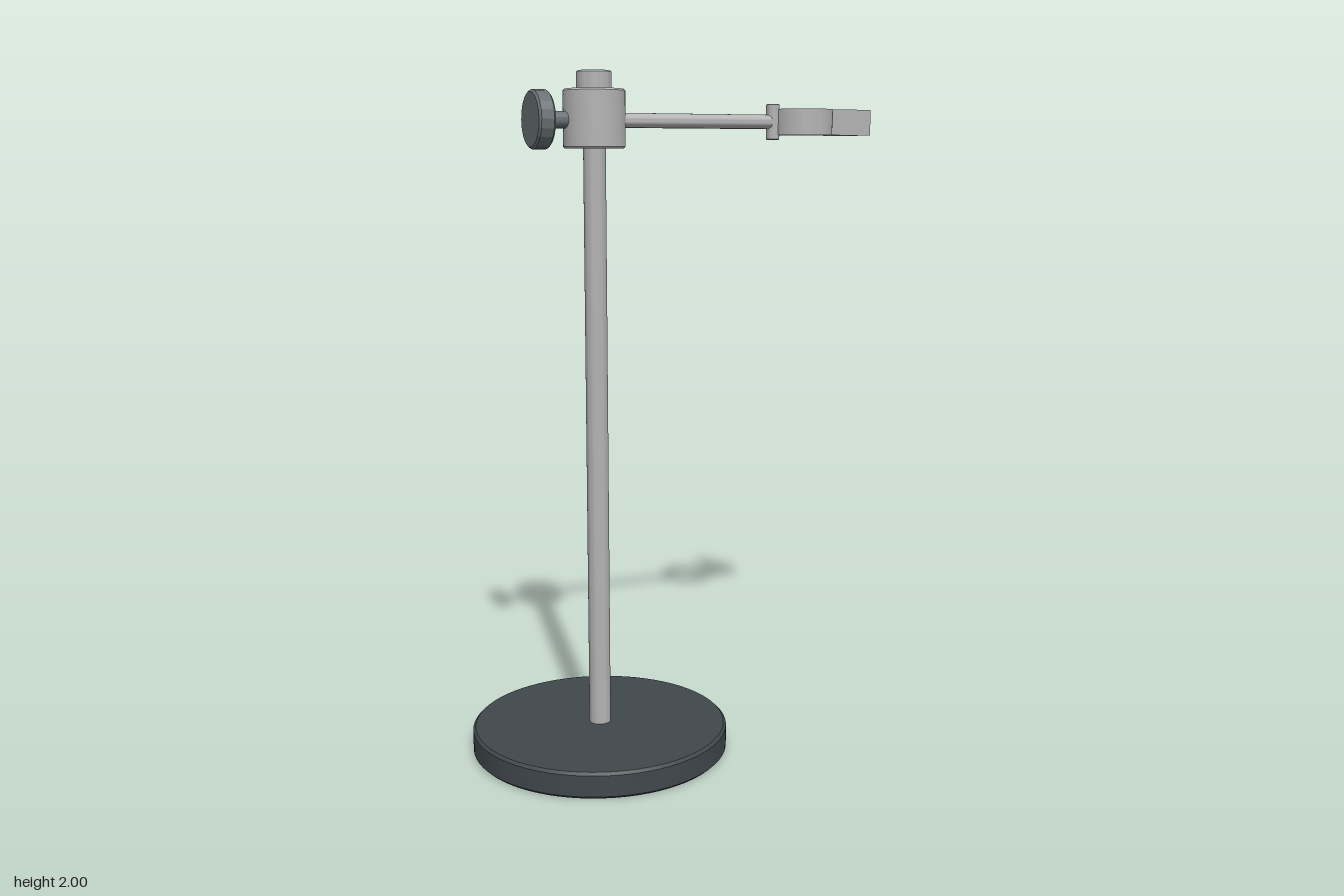
import * as THREE from 'three';
import { toCreasedNormals } from 'three/addons/utils/BufferGeometryUtils.js';

const POST_X = -0.254, ARM_Y = 1.864, RING_X = 0.415;

function makeMaterial(name, color) {
  const m = new THREE.MeshStandardMaterial({ color });
  m.name = name;
  return m;
}

// Solid of revolution from [radius, height] pairs, listed bottom to top
function turned(profile, segments = 48, crease = 0.5) {
  const points = profile.map(([r, y]) => new THREE.Vector2(r, y));
  return toCreasedNormals(new THREE.LatheGeometry(points, segments), crease);
}

// Closed drum with small bevels on both rims
function drum(r, y0, y1, bevel, segments, crease) {
  return turned([[0, y0], [r - bevel, y0], [r, y0 + bevel], [r, y1 - bevel], [r - bevel, y1], [0, y1]], segments, crease);
}

// Extrude a plan-view shape upward, centred on its own height
function planExtrude(shape, height) {
  const geo = new THREE.ExtrudeGeometry(shape, { depth: height, bevelEnabled: false, curveSegments: 48 });
  geo.translate(0, 0, -height / 2);
  geo.rotateX(-Math.PI / 2);
  return toCreasedNormals(geo, 0.5);
}

// Split ring with two jaws; the lower jaw hooks round to carry the screw
function clampShape() {
  const s = new THREE.Shape();
  const R = 0.0915, r = 0.068;
  s.moveTo(0.185, 0.045);
  s.absarc(0, 0, R, Math.asin(0.045 / R), 2 * Math.PI - Math.asin(0.042 / R), false);
  s.lineTo(0.215, -0.042);
  s.lineTo(0.215, 0.077);
  s.lineTo(0.12, 0.077);
  s.lineTo(0.12, 0.06);
  s.lineTo(0.196, 0.06);
  s.lineTo(0.196, -0.022);
  s.lineTo(0.077, -0.022);
  s.absarc(0, 0, r, 2 * Math.PI - 0.52, 0.52, true);
  s.lineTo(0.077, 0.025);
  s.lineTo(0.185, 0.025);
  s.closePath();
  return s;
}

function linerShape() {
  const s = new THREE.Shape();
  s.absarc(0, 0, 0.0685, 0.54, 2 * Math.PI - 0.54, false);
  s.absarc(0, 0, 0.0635, 2 * Math.PI - 0.54, 0.54, true);
  s.closePath();
  return s;
}

// Fluted grip: the outer vertices of a drum pulled in by a ripple
function flutedHead(r, y0, y1) {
  const geo = new THREE.LatheGeometry(
    [[0, y0], [r * 0.75, y0], [r, y0 + 0.008], [r, y1 - 0.012], [r * 0.7, y1], [0, y1]].map(p => new THREE.Vector2(...p)), 60);
  const p = geo.attributes.position;
  for (let i = 0; i < p.count; i++) {
    const x = p.getX(i), z = p.getZ(i);
    if (Math.hypot(x, z) < r * 0.9) continue;
    const k = 0.94 + 0.06 * Math.cos(12 * Math.atan2(z, x));
    p.setX(i, x * k);
    p.setZ(i, z * k);
  }
  return toCreasedNormals(geo, 0.6);
}

export function createModel() {
  const model = new THREE.Group();
  model.name = 'clampStand';

  const steel = makeMaterial('steel', 0xb3b3b4);
  const castIron = makeMaterial('castIron', 0x40484c);
  const knobGrey = makeMaterial('knobGrey', 0x697074);
  const screwGrey = makeMaterial('screwGrey', 0x52575b);
  const cork = makeMaterial('cork', 0xb08454);

  const add = (parent, name, geometry, material) => {
    const mesh = new THREE.Mesh(geometry, material);
    mesh.name = name;
    parent.add(mesh);
    return mesh;
  };
  const group = (name, x, y, z) => {
    const g = new THREE.Group();
    g.name = name;
    g.position.set(x, y, z);
    model.add(g);
    return g;
  };

  // Base, post, sliding collar and cap share one axis
  const stand = group('stand', POST_X, 0, 0);
  add(stand, 'base', drum(0.382, 0, 0.078, 0.008, 72), castIron);
  add(stand, 'post', drum(0.032, 0.07, 1.96, 0.002, 32), steel);
  add(stand, 'collar', drum(0.088, 1.785, 1.95, 0.005), steel);
  add(stand, 'cap', drum(0.05, 1.945, 2.0, 0.004), steel);

  // Tightening knob, axis pointing to -x
  const knob = group('knob', POST_X, ARM_Y, 0);
  knob.rotation.z = Math.PI / 2;
  add(knob, 'knobBoss', drum(0.024, 0.08, 0.135, 0.004, 24), knobGrey);
  add(knob, 'knobNeck', drum(0.014, 0.12, 0.15, 0.001, 20), knobGrey);
  add(knob, 'knobWheel', drum(0.082, 0.141, 0.19, 0.006, 20, 0.2), knobGrey);

  // Horizontal arm and the upright pin at its end
  const arm = add(model, 'arm', drum(0.021, 0, 0.48, 0.001, 32), steel);
  arm.position.set(-0.175, ARM_Y, 0);
  arm.rotation.z = -Math.PI / 2;
  const pin = add(model, 'pin', drum(0.02, -0.052, 0.052, 0.002, 28), steel);
  pin.position.set(0.316, ARM_Y, 0);

  // Ring clamp with its lining
  const clamp = group('clamp', RING_X, ARM_Y, 0);
  add(clamp, 'clampRing', planExtrude(clampShape(), 0.076), steel);
  add(clamp, 'corkLining', planExtrude(linerShape(), 0.074), cork);

  // Thumbscrew, axis pointing to -z
  const screw = group('thumbscrew', 0.568, ARM_Y, 0);
  screw.rotation.x = -Math.PI / 2;
  add(screw, 'screwShaft', drum(0.009, 0.045, 0.145, 0.001, 20), screwGrey);
  add(screw, 'screwTip', drum(0.014, 0.043, 0.055, 0.002, 20), screwGrey);
  add(screw, 'screwNut', drum(0.026, 0.077, 0.107, 0.004, 6, 0.2), screwGrey);
  add(screw, 'screwCollar', drum(0.014, 0.113, 0.123, 0.002, 20), screwGrey);
  add(screw, 'screwHead', flutedHead(0.035, 0.138, 0.176), screwGrey);

  return model;
}
